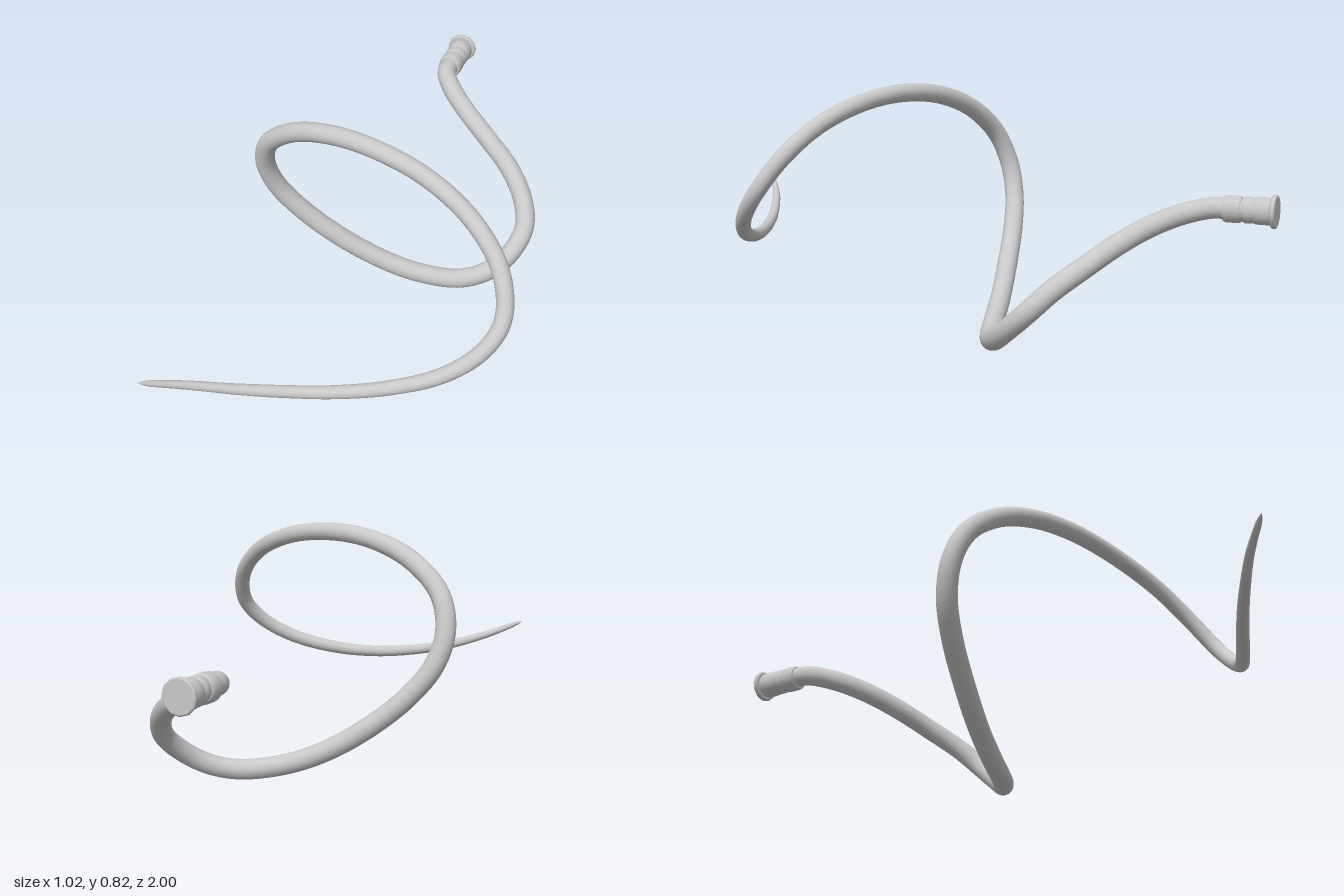
import * as THREE from 'three';
import { toCreasedNormals } from 'three/addons/utils/BufferGeometryUtils.js';

const grey = new THREE.MeshStandardMaterial({ color: 0xc8c8c8 });
grey.name = 'grey';

// Centre line of the lash, from the handle to the tip
const path = new THREE.CatmullRomCurve3([
  [-0.135, 0.453, -0.87], [-0.132, 0.453, -0.80], [-0.08, 0.436, -0.72],
  [0, 0.406, -0.645], [0.1, 0.362, -0.575], [0.21, 0.302, -0.503],
  [0.285, 0.238, -0.428], [0.316, 0.17, -0.36], [0.287, 0.098, -0.277],
  [0.225, 0.052, -0.215], [0.14, 0.036, -0.165], [0, 0.06, -0.12],
  [-0.13, 0.113, -0.088], [-0.27, 0.203, -0.053], [-0.385, 0.305, -0.024],
  [-0.457, 0.405, 0.002], [-0.48, 0.51, 0.03], [-0.447, 0.617, 0.063],
  [-0.345, 0.708, 0.102], [-0.2, 0.767, 0.147], [-0.02, 0.79, 0.2],
  [0.18, 0.769, 0.263], [0.345, 0.704, 0.335], [0.448, 0.608, 0.405],
  [0.483, 0.5, 0.48], [0.447, 0.423, 0.545], [0.35, 0.355, 0.613],
  [0.21, 0.313, 0.675], [0.06, 0.298, 0.735], [-0.08, 0.306, 0.793],
  [-0.2, 0.327, 0.85], [-0.32, 0.364, 0.917], [-0.43, 0.41, 0.998],
].map((p) => new THREE.Vector3(...p)));

// Lash radius at t = 0..1 along its length
const radii = [[0, 0.034], [0.35, 0.034], [0.5, 0.032], [0.62, 0.029], [0.74, 0.0265],
  [0.84, 0.022], [0.92, 0.018], [0.97, 0.013], [0.994, 0.009], [1, 0]];
function radiusAt(t) {
  let i = 1;
  while (i < radii.length - 1 && t > radii[i][0]) i++;
  const [t0, r0] = radii[i - 1], [t1, r1] = radii[i];
  return THREE.MathUtils.lerp(r0, r1, (t - t0) / (t1 - t0));
}

// Tube whose rings are scaled to the tapering radius
function taperedTube(curve, rings, sides) {
  const geo = new THREE.TubeGeometry(curve, rings, 1, sides);
  const pos = geo.attributes.position, normal = geo.attributes.normal;
  const n = new THREE.Vector3(), p = new THREE.Vector3();
  for (let i = 0; i <= rings; i++) {
    const centre = curve.getPointAt(i / rings), r = radiusAt(i / rings);
    for (let j = 0; j <= sides; j++) {
      const k = i * (sides + 1) + j;
      n.fromBufferAttribute(normal, k);
      p.copy(centre).addScaledVector(n, r);
      pos.setXYZ(k, p.x, p.y, p.z);
    }
  }
  return geo;
}

// Turned part along z, from [radius, z] pairs
function turned(name, profile, sides) {
  const geo = new THREE.LatheGeometry(profile.map(([r, z]) => new THREE.Vector2(r, z)), sides);
  geo.rotateX(Math.PI / 2);
  const mesh = new THREE.Mesh(toCreasedNormals(geo, 0.6), grey);
  mesh.name = name;
  mesh.position.set(-0.135, 0.453, 0);
  return mesh;
}

export function createModel() {
  const model = new THREE.Group();
  model.name = 'whip';

  const lash = new THREE.Mesh(taperedTube(path, 240, 20), grey);
  lash.name = 'lash';
  model.add(lash);

  const handle = new THREE.Group();
  handle.name = 'handle';
  handle.add(
    turned('endDisc', [[0, -1], [0.049, -1], [0.053, -0.997], [0.053, -0.988],
      [0.048, -0.984], [0, -0.984]], 12),
    turned('grip', [[0, -0.986], [0.038, -0.986], [0.043, -0.977], [0.044, -0.955],
      [0.043, -0.935], [0.039, -0.928], [0.042, -0.92], [0.042, -0.904], [0.037, -0.895],
      [0.036, -0.884], [0, -0.884]], 16),
    turned('collar', [[0, -0.891], [0.039, -0.891], [0.043, -0.884], [0.043, -0.845],
      [0.039, -0.836], [0, -0.834]], 16),
  );
  model.add(handle);
  return model;
}
